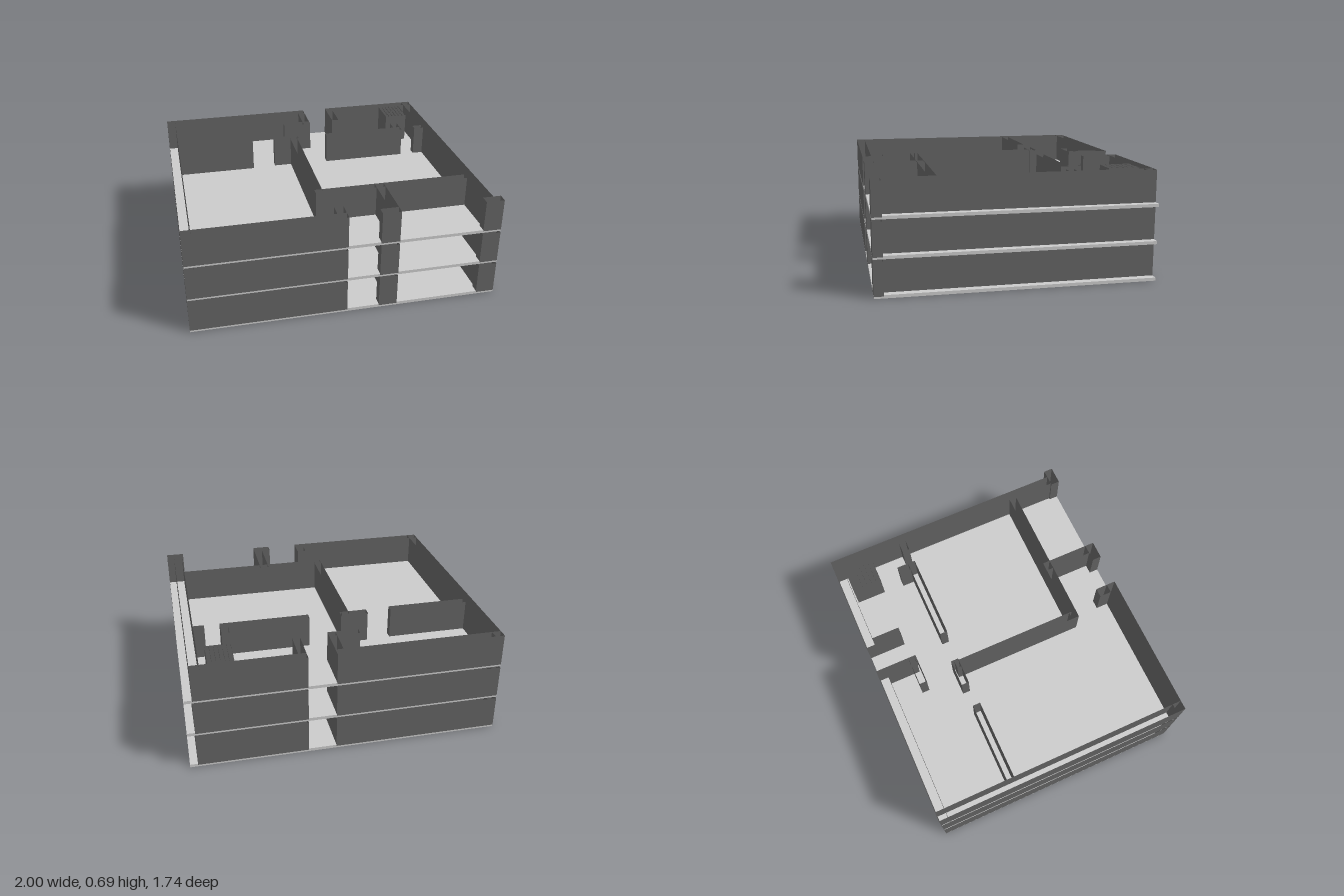
import * as THREE from 'three';

const slabMaterial = new THREE.MeshStandardMaterial({ color: 0xcccccc });
const wallMaterial = new THREE.MeshStandardMaterial({
  color: 0x646464, flatShading: true, side: THREE.DoubleSide,
});

const STOREY = 0.2345;      // floor to floor
const SLAB = 0.02;          // slab thickness
const WALL_BASE = 0.012;    // walls are sunk slightly into the slab
const WALL_TOP = 0.223;

// Wall plans as [name, x0, x1, z0, z1]
const WALLS = [
  // outer shell
  ['frontWall', -1, 0, 0.81, 0.87],
  ['frontWallReturn', -0.06, 0, 0.73, 0.81],
  ['leftWall', -1, -0.94, -0.87, 0.87],
  ['rightWall', 0.89, 0.95, -0.87, 0.81],
  ['backWallLong', -1, 0.07, -0.87, -0.81],
  ['backWallShort', 0.25, 0.95, -0.87, -0.81],
  // balcony and front entrance
  ['cornerPost', 0.88, 1, 0.81, 0.87],
  ['entrancePost', 0.21, 0.33, 0.81, 0.87],
  ['balconySideWall', 0.27, 0.33, 0.48, 0.81],
  ['balconyBackWall', -0.13, 0.89, 0.48, 0.53],
  // rear entrance passage
  ['passageWall', 0.02, 0.07, -0.81, -0.6],
  ['passageWall', 0.25, 0.3, -0.81, -0.62],
  ['passageReturn', -0.13, 0.07, -0.64, -0.59],
  // partitions
  ['middlePartition', -0.13, -0.08, -0.37, 0.5],
  ['middlePartitionReturn', -0.25, -0.07, -0.39, -0.34],
  ['leftPartition', -0.94, -0.41, -0.38, -0.33],
  ['rightPartition', 0.14, 0.72, -0.38, -0.33],
  ['rightPartitionReturn', 0.67, 0.72, -0.46, -0.38],
  ['rightWallStub', 0.82, 0.89, -0.38, -0.33],
];

// Four upright faces, open at top and bottom
function wall(name, x0, x1, z0, z1) {
  const height = WALL_TOP - WALL_BASE;
  const geometry = new THREE.CylinderGeometry(Math.SQRT1_2, Math.SQRT1_2, 1, 4, 1, true, Math.PI / 4);
  geometry.scale(x1 - x0, height, z1 - z0);
  const mesh = new THREE.Mesh(geometry, wallMaterial);
  mesh.position.set((x0 + x1) / 2, WALL_BASE + height / 2, (z0 + z1) / 2);
  mesh.name = name;
  return mesh;
}

// Shaft divided by a lattice of thin upright sheets
function serviceShaft() {
  const shaft = new THREE.Group();
  shaft.name = 'serviceShaft';
  const x0 = 0.68, x1 = 0.84, z0 = -0.8, z1 = -0.6, cells = 6;
  for (let i = 0; i < cells; i++) {
    const z = z0 + (i * (z1 - z0)) / cells;
    shaft.add(wall('shaftSlat', x0, x1, z, z + (z1 - z0) / cells));
    const x = x0 + (i * (x1 - x0)) / cells;
    shaft.add(wall('shaftSlat', x, x + (x1 - x0) / cells, z0, z1));
  }
  return shaft;
}

function storey(index) {
  const group = new THREE.Group();
  group.name = 'storey' + (index + 1);

  // floor slab, a hair inside the flush walls
  const slab = new THREE.Mesh(new THREE.BoxGeometry(1.998, SLAB, 1.738), slabMaterial);
  slab.position.y = SLAB / 2;
  slab.name = 'floorSlab';
  group.add(slab);

  for (const plan of WALLS) group.add(wall(...plan));
  group.add(serviceShaft());
  group.position.y = index * STOREY;
  return group;
}

export function createModel() {
  const model = new THREE.Group();
  model.name = 'openBuilding';
  for (let i = 0; i < 3; i++) model.add(storey(i));
  return model;
}
